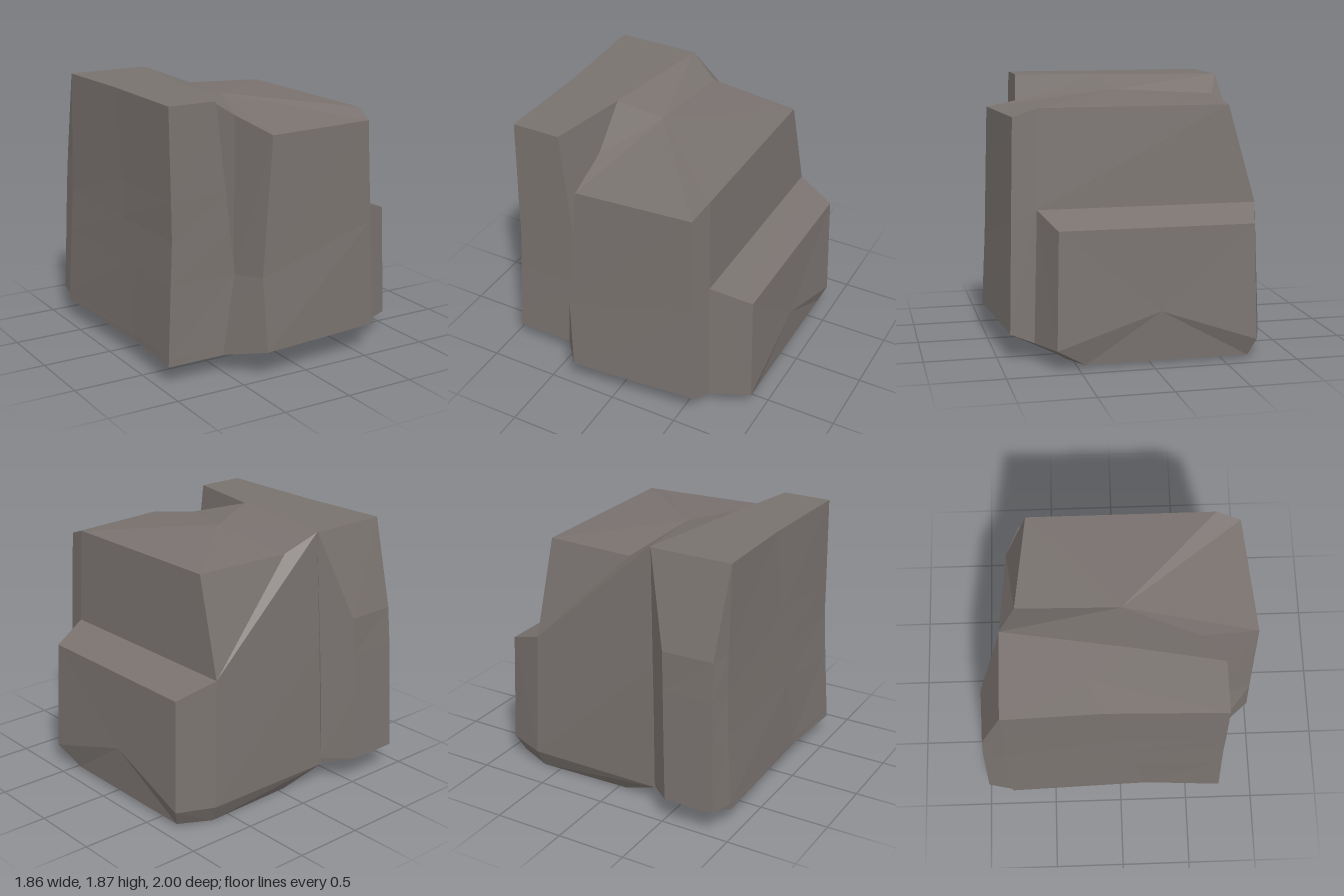
import * as THREE from 'three';

const stone = new THREE.MeshStandardMaterial({ color: 0x79726f });
stone.name = 'warm grey stone';
stone.flatShading = true;

// Faceted skin over rings of corners, closed by a fan at each end.
// Rings run from the outer/top end, counter-clockwise seen from that end.
function loft(name, rings, peak) {
  const pos = [];
  const tri = (...points) => points.forEach((p) => pos.push(...p));
  const middle = (ring) => [0, 1, 2].map((k) => ring.reduce((s, p) => s + p[k], 0) / ring.length);
  const n = rings[0].length;
  const first = rings[0];
  const last = rings[rings.length - 1];
  const topMid = peak || middle(first);
  const lowMid = middle(last);
  for (let i = 0; i < n; i++) {
    const j = (i + 1) % n;
    for (let r = 0; r < rings.length - 1; r++) {
      const [up, low] = [rings[r], rings[r + 1]];
      tri(up[i], low[i], up[j]);
      tri(up[j], low[i], low[j]);
    }
    tri(first[i], first[j], topMid);
    tri(last[j], last[i], lowMid);
  }
  const geo = new THREE.BufferGeometry();
  geo.setAttribute('position', new THREE.Float32BufferAttribute(pos, 3));
  geo.computeVertexNormals();
  const mesh = new THREE.Mesh(geo, stone);
  mesh.name = name;
  return mesh;
}

// Horizontal ring from [x, z] pairs
const level = (y, corners) => corners.map(([x, z]) => [x, y, z]);

export function createModel() {
  const group = new THREE.Group();
  group.name = 'rock';

  // Main block: front-left, front-right, right-front, right-back,
  // back dip, back-left, groove root, groove lip
  group.add(loft('mainBlock', [
    [[-0.25, 1.66, 0.95], [0.57, 1.66, 0.88], [0.61, 1.72, 0.71], [0.61, 1.72, -0.61],
      [-0.07, 1.74, -0.69], [-0.28, 1.87, -0.78], [-0.42, 1.87, 0.1], [-0.3, 1.73, 0.56]],
    [[-0.335, 0.71, 0.97], [0.595, 0.95, 0.9], [0.63, 1.04, 0.73], [0.63, 1.04, -0.8],
      [0.629, 1.04, -0.8], [-0.31, 1.04, -0.81], [-0.4, 0.68, 0.715], [-0.4, 0.68, 0.72]],
    [[-0.31, 0.19, 1], [0.62, 0.19, 0.92], [0.66, 0.13, 0.76], [0.66, 0.13, -0.83],
      [0.65, 0.13, -0.83], [-0.34, 0.13, -0.83], [-0.4, 0.13, 0.7], [-0.51, 0.13, 0.75]],
    [[-0.04, 0.01, 0.55], [0.63, 0.01, 0.55], [0.65, 0, 0.5], [0.64, 0, -0.77],
      [0.62, 0, -0.77], [-0.05, 0, -0.75], [-0.06, 0.01, 0.45], [-0.05, 0.01, 0.52]],
  ], [-0.1, 1.78, 0.03]));

  // Tall slab: front-outer, front-inner, groove root, back root,
  // back-inner, back-outer, side-back, side-middle
  group.add(loft('tallSlab', [
    level(1.87, [[-0.88, 0.7], [-0.53, 0.7], [-0.42, 0.1], [-0.28, -0.78],
      [-0.29, -0.78], [-0.875, -0.78], [-0.88, -0.77], [-0.86, -0.1]]),
    level(1.25, [[-0.88, 0.72], [-0.462, 0.71], [-0.41, 0.42], [-0.31, -0.8],
      [-0.48, -0.96], [-0.85, -0.95], [-0.88, -0.8], [-0.87, 0]]),
    level(0.98, [[-0.88, 0.725], [-0.433, 0.715], [-0.405, 0.57], [-0.32, -0.81],
      [-0.49, -0.97], [-0.86, -0.97], [-0.885, -0.81], [-0.88, 0]]),
    level(0.68, [[-0.897, 0.732], [-0.4, 0.72], [-0.4, 0.715], [-0.33, -0.82],
      [-0.5, -0.98], [-0.87, -0.98], [-0.9, -0.82], [-0.89, 0.1]]),
    level(0.18, [[-0.927, 0.748], [-0.5, 0.747], [-0.4, 0.7], [-0.34, -0.83],
      [-0.52, -1], [-0.89, -1], [-0.928, -0.83], [-0.9, 0.2]]),
    level(0.13, [[-0.93, 0.75], [-0.51, 0.75], [-0.4, 0.7], [-0.34, -0.82],
      [-0.5, -0.85], [-0.87, -0.85], [-0.93, -0.82], [-0.9, 0.2]]),
  ]));

  // Low side ledge, bevelled towards its outer face
  group.add(loft('sideLedge', [
    [[0.905, 0.94, 0.63], [0.93, 0.14, 0.65], [0.88, 0.02, 0.45],
      [0.88, 0.02, -0.68], [0.93, 0.14, -0.73], [0.905, 0.94, -0.71]],
    [[0.63, 1.04, 0.73], [0.66, 0.13, 0.76], [0.64, 0, 0.54],
      [0.64, 0, -0.77], [0.66, 0.13, -0.83], [0.63, 1.04, -0.8]],
  ]));

  return group;
}
